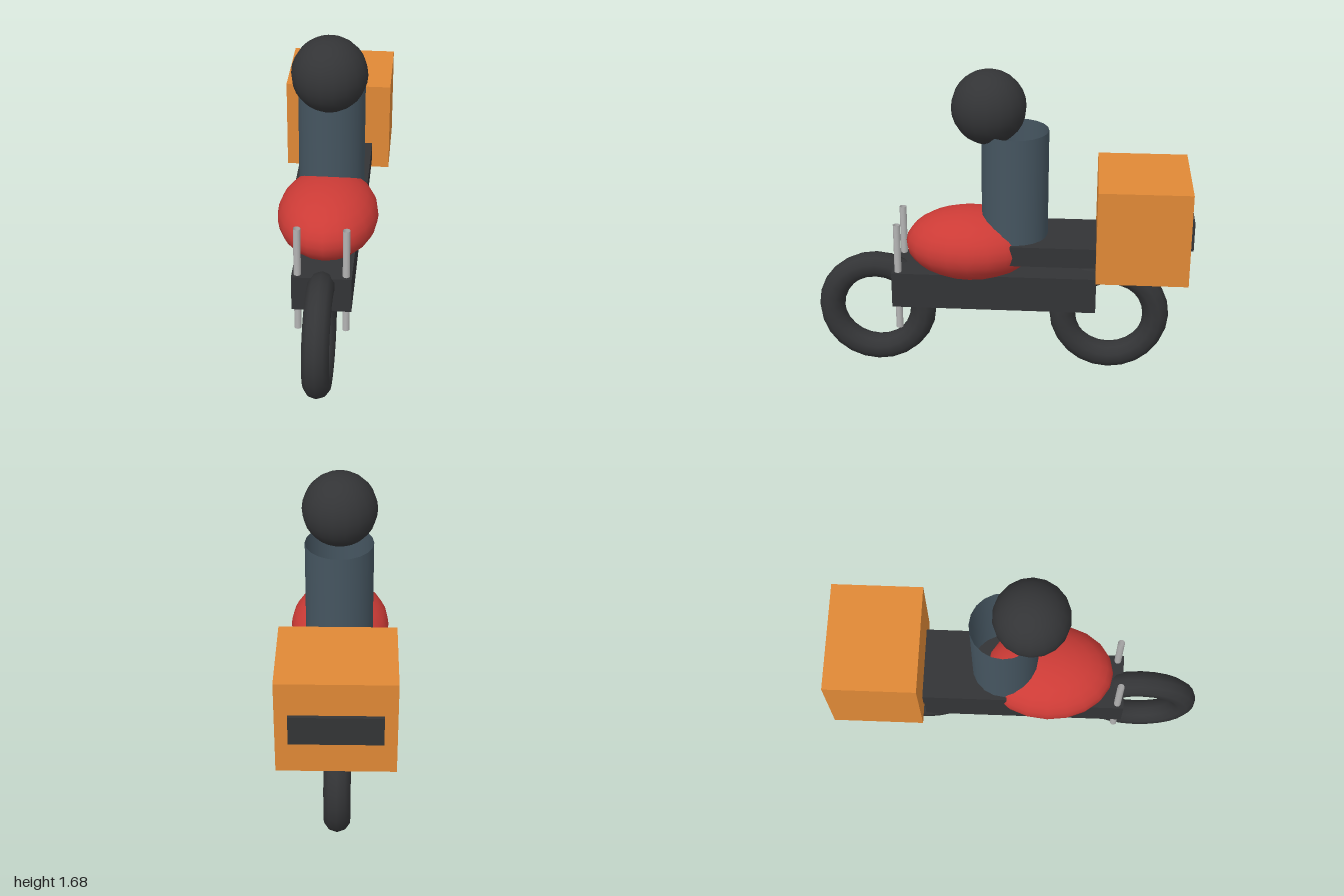
import * as THREE from 'three';

const paint = (color, side = THREE.FrontSide) => {
  const material = new THREE.MeshStandardMaterial({ side });
  material.color.set(color);
  return material;
};

export function createModel() {
  const model = new THREE.Group();
  model.name = 'deliveryScooter';

  const black = paint(0x333436);
  const red = paint(0xcc3b36);
  const orange = paint(0xe08936);
  const jacket = paint(0x455560, THREE.DoubleSide);
  const metal = paint(0xb4b4b4, THREE.DoubleSide);

  const add = (name, geometry, material, x, y, z) => {
    const mesh = new THREE.Mesh(geometry, material);
    mesh.name = name;
    mesh.position.set(x, y, z);
    model.add(mesh);
    return mesh;
  };

  // Box given by its width and its y and z limits, centred on x
  const addBox = (name, material, width, y0, y1, z0, z1) =>
    add(name, new THREE.BoxGeometry(width, y1 - y0, z1 - z0), material, 0, (y0 + y1) / 2, (z0 + z1) / 2);

  // Wheels: bare tyres in the yz plane
  const tyre = new THREE.TorusGeometry(0.252, 0.07, 10, 24).rotateY(Math.PI / 2);
  add('frontWheel', tyre, black, 0, 0.323, 0.678);
  add('rearWheel', tyre, black, 0, 0.323, -0.586);

  // Chassis, tank and seat
  addBox('chassis', black, 0.306, 0.398, 0.595, -0.511, 0.574);
  const tank = new THREE.SphereGeometry(1, 20, 14).scale(0.264, 0.189, 0.348);
  add('tank', tank, red, 0, 0.726, 0.16);
  addBox('seat', black, 0.386, 0.68, 0.788, -0.56, -0.058);

  // Fork tubes, open at both ends
  const tube = new THREE.CylinderGeometry(0.019, 0.019, 0.602, 10, 1, true);
  for (const [name, side] of [['leftFork', 1], ['rightFork', -1]]) {
    add(name, tube, metal, side * 0.124, 0.565, 0.541);
  }

  // Rider: open cylinder torso and round helmet
  add('riderTorso', new THREE.CylinderGeometry(0.175, 0.175, 0.585, 20, 1, true), jacket, 0, 1.0735, -0.073);
  add('riderHelmet', new THREE.SphereGeometry(0.194, 18, 14), black, 0, 1.486, 0.063);

  // Cargo box with rear plate
  addBox('cargoBox', orange, 0.576, 0.637, 1.142, -0.981, -0.505);
  addBox('rearPlate', black, 0.45, 0.811, 0.966, -1, -0.97);

  return model;
}
